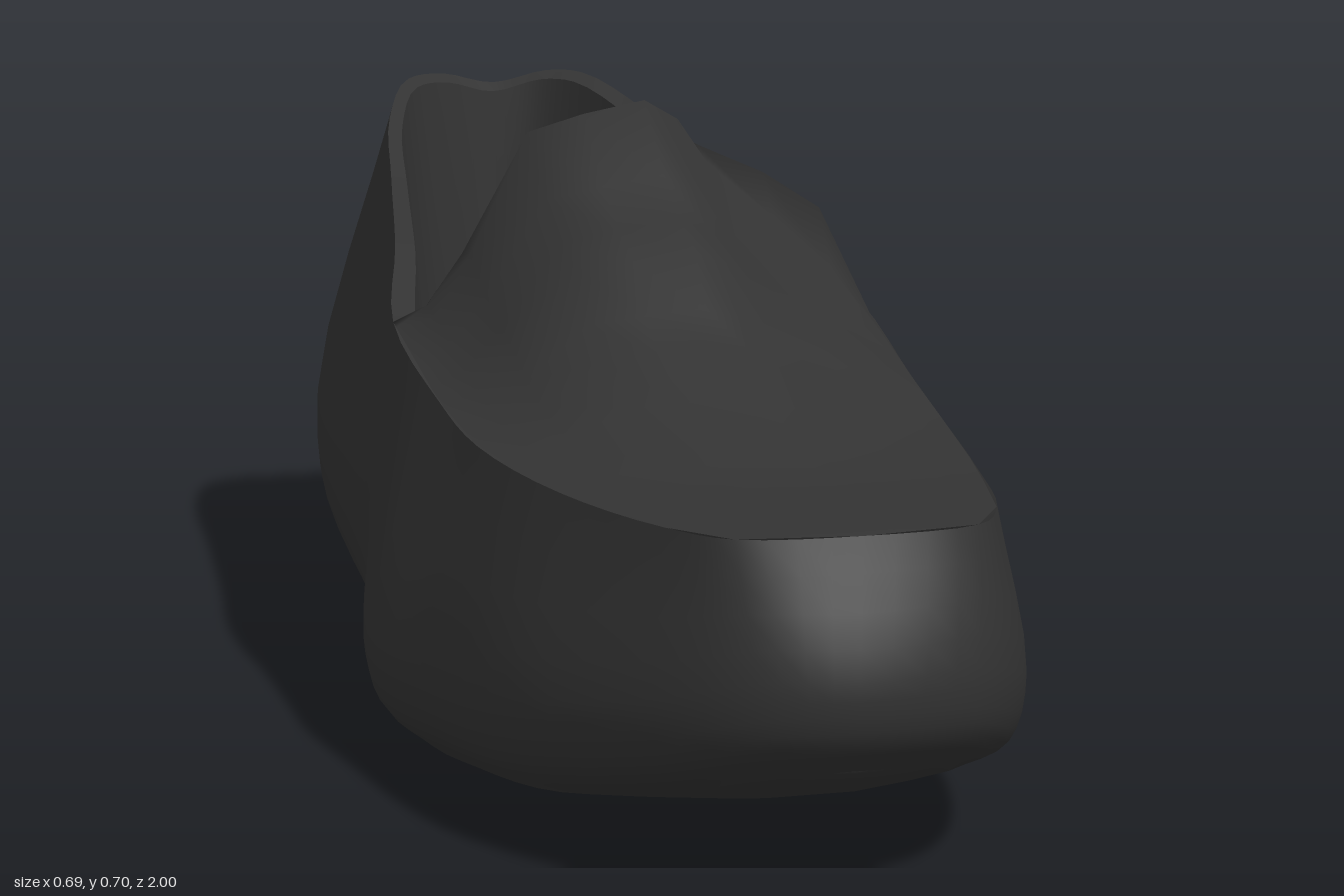
import * as THREE from 'three';

const V = (x, y, z) => new THREE.Vector3(x, y, z);
const black = new THREE.MeshStandardMaterial({ color: 0x333333, side: THREE.DoubleSide });
black.name = 'black leather';

// Outlines from heel to toe: [z, left x, right x, y]
const SOLE = [
  [-0.9, 0.09, 0.09, 0.035], [-0.88, 0.0, 0.17, 0.03], [-0.8, -0.07, 0.23, 0.02],
  [-0.65, -0.11, 0.27, 0.02], [-0.45, -0.14, 0.27, 0.02], [-0.25, -0.17, 0.26, 0.03],
  [-0.05, -0.21, 0.25, 0.045], [0.2, -0.28, 0.26, 0.015], [0.4, -0.27, 0.23, 0.025],
  [0.62, -0.24, 0.19, 0.05], [0.8, -0.17, 0.13, 0.09], [0.91, -0.1, 0.07, 0.125],
  [0.94, -0.03, -0.03, 0.135]];
const WIDE = [
  [-1, 0.1, 0.1, 0.35], [-0.98, -0.02, 0.18, 0.3], [-0.9, -0.12, 0.27, 0.25],
  [-0.75, -0.17, 0.315, 0.22], [-0.5, -0.21, 0.325, 0.2], [-0.25, -0.25, 0.33, 0.2],
  [-0.02, -0.29, 0.335, 0.18], [0.2, -0.345, 0.325, 0.14], [0.4, -0.335, 0.3, 0.14],
  [0.68, -0.305, 0.25, 0.17], [0.88, -0.22, 0.18, 0.21], [0.97, -0.14, 0.1, 0.24],
  [1, -0.04, -0.04, 0.24]];
const RIM = [
  [-0.93, 0.12, 0.12, 0.62], [-0.92, 0.05, 0.19, 0.635], [-0.88, -0.01, 0.23, 0.635],
  [-0.75, -0.07, 0.275, 0.6], [-0.55, -0.12, 0.3, 0.55], [-0.3, -0.18, 0.32, 0.5],
  [-0.08, -0.24, 0.34, 0.445], [0.2, -0.26, 0.305, 0.4], [0.4, -0.27, 0.27, 0.385],
  [0.65, -0.25, 0.215, 0.38], [0.85, -0.2, 0.16, 0.38], [0.93, -0.15, 0.11, 0.38],
  [0.95, -0.02, -0.02, 0.38]];
const INSOLE = [
  [-0.91, 0.12, 0.12, 0.1], [-0.88, 0.08, 0.15, 0.09], [-0.8, 0.03, 0.18, 0.08],
  [-0.65, -0.03, 0.22, 0.08], [-0.45, -0.09, 0.24, 0.08], [-0.25, -0.14, 0.25, 0.085],
  [-0.05, -0.18, 0.25, 0.09], [0.2, -0.25, 0.24, 0.08], [0.4, -0.25, 0.21, 0.09],
  [0.6, -0.21, 0.16, 0.11], [0.75, -0.15, 0.11, 0.14], [0.84, -0.09, 0.06, 0.17],
  [0.87, -0.03, -0.03, 0.18]];

const N = 96;
// Smooth closed loop: down the left side, back up the right
function loop(table) {
  const left = table.map(([z, l, , y]) => V(l, y, z));
  const right = table.slice(1, -1).reverse().map(([z, , r, y]) => V(r, y, z));
  const curve = new THREE.CatmullRomCurve3([...left, ...right], true);
  return Array.from({ length: N }, (_, i) => curve.getPoint(i / N));
}

// Smooth surface through rows of points
function grid(name, rows, closed = false) {
  const n = rows[0].length, pos = [], index = [];
  rows.forEach(r => r.forEach(p => pos.push(p.x, p.y, p.z)));
  for (let i = 0; i < rows.length - 1; i++)
    for (let j = 0; j < (closed ? n : n - 1); j++) {
      const a = i * n + j, b = i * n + (j + 1) % n;
      index.push(a, a + n, b, b, a + n, b + n);
    }
  const g = new THREE.BufferGeometry();
  g.setAttribute('position', new THREE.Float32BufferAttribute(pos, 3));
  g.setIndex(index);
  g.computeVertexNormals();
  const mesh = new THREE.Mesh(g, black);
  mesh.name = name;
  return mesh;
}

// Fill a loop by joining its halves, sagging by dip along the middle
function fill(name, ring, dip) {
  const rows = [];
  for (let k = 0; k <= N / 2; k++) {
    const a = ring[k], b = ring[(N - k) % N];
    rows.push([0, 0.15, 0.35, 0.65, 0.85, 1].map(t => {
      const p = a.clone().lerp(b, t);
      p.y -= dip * Math.sin(Math.PI * t) * Math.min(1, a.distanceTo(b) / 0.3);
      return p;
    }));
  }
  return grid(name, rows);
}

// Left x, right x and y of the rim at a given z
function rimAt(z) {
  let i = 0;
  while (i < RIM.length - 2 && RIM[i + 1][0] < z) i++;
  const a = RIM[i], b = RIM[i + 1], t = (z - a[0]) / (b[0] - a[0]);
  return [1, 2, 3].map(k => THREE.MathUtils.lerp(a[k], b[k], t));
}

export function createModel() {
  const shoe = new THREE.Group();
  shoe.name = 'loafer';
  const sole = loop(SOLE), wide = loop(WIDE), rim = loop(RIM), floor = loop(INSOLE);

  // Outer wall, rounded between sole edge, widest line and rim
  const sides = sole.map((s, i) => {
    const w = wide[i];
    const low = V(s.x + (w.x - s.x) * 0.78, s.y + (w.y - s.y) * 0.36, s.z + (w.z - s.z) * 0.78);
    return new THREE.CatmullRomCurve3([s, low, w, rim[i]]);
  });
  const wall = [];
  for (let j = 0; j <= 12; j++) wall.push(sides.map(c => c.getPoint(j / 12)));
  shoe.add(grid('upperWall', wall, true), fill('sole', sole, 0.016));

  // Rolled collar, lining and insole
  const lip = rim.map(p => V(0.06 + (p.x - 0.06) * 0.9, p.y - 0.01, p.z * 0.98));
  const middle = lip.map((p, i) => p.clone().lerp(floor[i], 0.5));
  shoe.add(grid('collarEdge', [rim, lip], true));
  shoe.add(grid('lining', [lip, middle, floor], true), fill('insole', floor, 0));

  // Vamp and raised tongue, folding under at the back:
  // [edge z, crest z, crest y, how far the right side is lifted]
  const vampRows = [
    [0.948, 0.95, 0.38, 0], [0.93, 0.93, 0.382, 0], [0.85, 0.85, 0.383, 0],
    [0.72, 0.72, 0.383, 0], [0.6, 0.6, 0.39, 0], [0.48, 0.46, 0.435, 0],
    [0.38, 0.36, 0.475, 0], [0.29, 0.28, 0.505, 0], [0.23, 0.22, 0.56, 0],
    [0.16, 0.14, 0.585, 0], [0.08, 0.05, 0.625, 0], [0.0, -0.05, 0.7, 0.2],
    [-0.06, -0.1, 0.665, 1], [-0.08, -0.13, 0.54, 1], [0.0, 0.02, 0.52, 0.5],
    [0.15, 0.18, 0.47, 0]];
  // Cross-section: [position across, height, height where lifted]
  const arch = [[0, 0, 0], [0.07, 0.1, 0.1], [0.15, 0.36, 0.36], [0.28, 0.88, 0.88],
    [0.4, 0.95, 0.95], [0.53, 1, 1], [0.6, 0.9, 0.96], [0.66, 0.68, 0.88],
    [0.8, 0.4, 0.72], [0.92, 0.16, 0.52], [1, 0, 0]];
  shoe.add(grid('vampAndTongue', vampRows.map(([ze, zc, yc, lift]) => {
    const [l, r, y] = rimAt(ze);
    return arch.map(([u, low, high]) => {
      const h = THREE.MathUtils.lerp(low, high, lift);
      return V(l + (r - l) * u, y + (yc - y) * h, ze + (zc - ze) * Math.sqrt(h));
    });
  })));
  return shoe;
}
